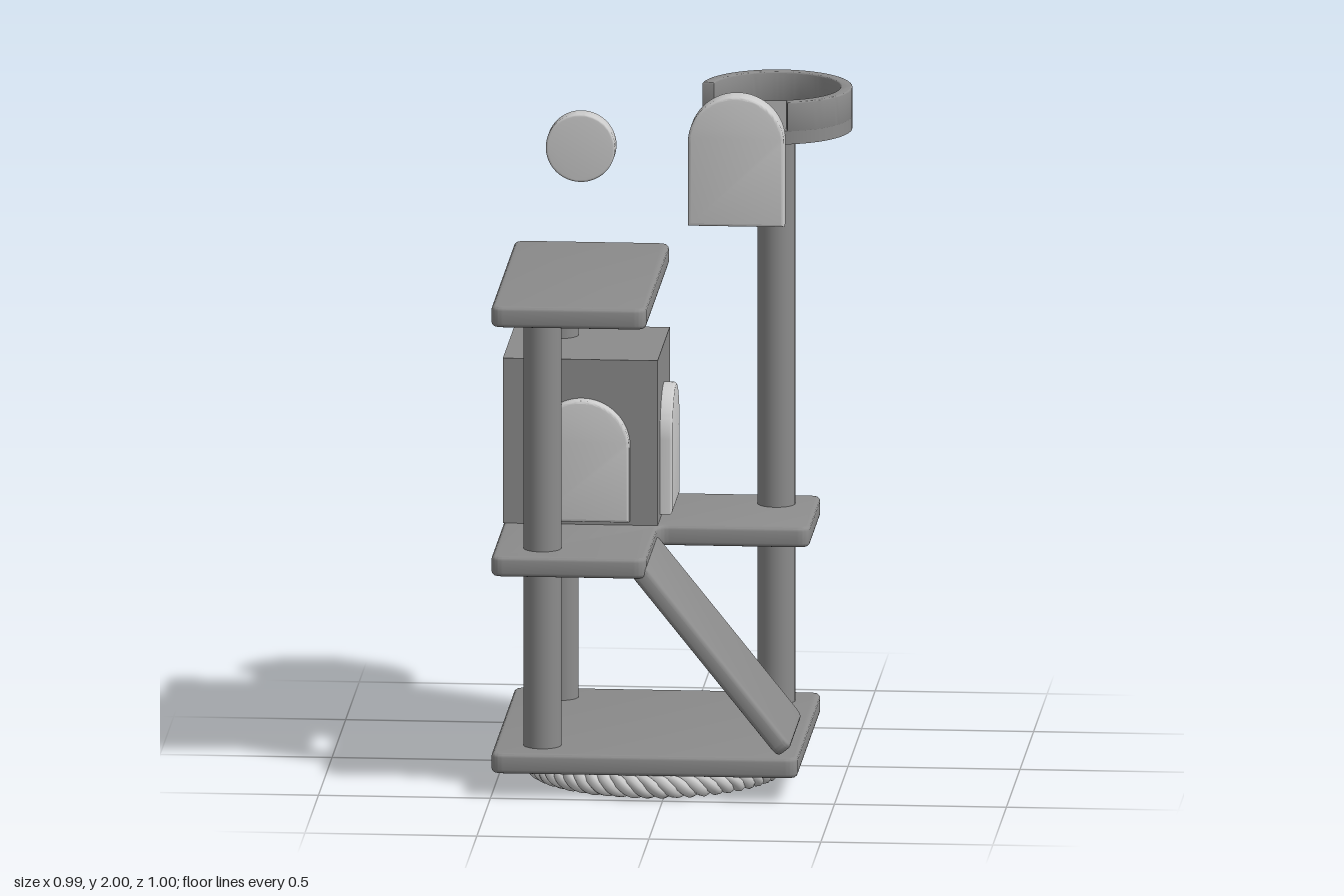
import * as THREE from 'three';
import { toCreasedNormals } from 'three/addons/utils/BufferGeometryUtils.js';

const dark = new THREE.MeshStandardMaterial({ color: 0x8c8c8c });
const light = new THREE.MeshStandardMaterial({ color: 0xcccccc });

// Polygon outline with rounded corners
function roundedOutline(points, radius) {
  const shape = new THREE.Shape();
  const pts = points.map(([x, y]) => new THREE.Vector2(x, y));
  pts.forEach((p, i) => {
    const prev = pts[(i + pts.length - 1) % pts.length];
    const next = pts[(i + 1) % pts.length];
    const a = p.clone().add(prev.clone().sub(p).setLength(radius));
    const b = p.clone().add(next.clone().sub(p).setLength(radius));
    if (i === 0) shape.moveTo(a.x, a.y);
    else shape.lineTo(a.x, a.y);
    shape.quadraticCurveTo(p.x, p.y, b.x, b.y);
  });
  shape.closePath();
  return shape;
}

const rect = (x0, z0, x1, z1) => [[x0, z0], [x1, z0], [x1, z1], [x0, z1]];

// Extrusion centred on its thickness, with softened edges inside the outline
function extrude(shape, thickness, bevel, curveSegments = 10) {
  const geometry = new THREE.ExtrudeGeometry(shape, {
    depth: thickness - 2 * bevel,
    bevelEnabled: bevel > 0,
    bevelThickness: bevel,
    bevelSize: bevel,
    bevelOffset: -bevel,
    bevelSegments: 3,
    curveSegments,
  });
  geometry.translate(0, 0, bevel - thickness / 2);
  return toCreasedNormals(geometry, 0.6);
}

// Doorway panel: straight sides and a semicircular top, standing on y = 0
function archGeometry(width, height, thickness) {
  const r = width / 2;
  const shape = new THREE.Shape();
  shape.moveTo(-r, 0);
  shape.lineTo(r, 0);
  shape.lineTo(r, height - r);
  shape.absarc(0, height - r, r, 0, Math.PI, false);
  shape.closePath();
  return extrude(shape, thickness, 0.008, 24);
}

// One strand of a rope twisted around a ring
class RopeStrand extends THREE.Curve {
  constructor(radius, offset, turns, phase) {
    super();
    Object.assign(this, { radius, offset, turns, phase });
  }
  getPoint(t, target = new THREE.Vector3()) {
    const a = t * Math.PI * 2;
    const twist = this.turns * a + this.phase;
    const r = this.radius + this.offset * Math.cos(twist);
    return target.set(r * Math.cos(a), this.offset * Math.sin(twist), r * Math.sin(a));
  }
}

export function createModel() {
  const group = new THREE.Group();

  function add(name, geometry, material, x = 0, y = 0, z = 0) {
    const mesh = new THREE.Mesh(geometry, material);
    mesh.name = name;
    mesh.position.set(x, y, z);
    group.add(mesh);
    return mesh;
  }

  // Horizontal boards, outlined in x and z
  function board(name, points, y0, y1) {
    const geometry = extrude(roundedOutline(points, 0.035), y1 - y0, 0.012);
    geometry.rotateX(Math.PI / 2);
    return add(name, geometry, dark, 0, (y0 + y1) / 2, 0);
  }
  board('base', rect(-0.5, -0.4, 0.39, 0.49), 0.07, 0.13);
  board('middlePlatform', [
    [-0.5, -0.4], [0.39, -0.4], [0.39, 0.04], [-0.05, 0.04], [-0.05, 0.49], [-0.5, 0.49],
  ], 0.655, 0.715);
  board('topShelf', rect(-0.5, -0.4, -0.05, 0.49), 1.395, 1.457);

  // Posts
  function post(name, x, z, y0, y1) {
    add(name, new THREE.CylinderGeometry(0.055, 0.055, y1 - y0, 32), dark, x, (y0 + y1) / 2, z);
  }
  post('frontPost', -0.36, 0.36, 0.12, 1.4);
  post('tallPost', 0.27, -0.28, 0.12, 1.84);
  post('backLowerPost', -0.36, -0.28, 0.12, 0.66);
  post('backUpperPost', -0.36, -0.28, 1.2, 1.4);

  // House with two arched doors
  add('house', new THREE.BoxGeometry(0.45, 0.49, 0.445), dark, -0.275, 0.96, -0.18);
  add('houseFrontDoor', archGeometry(0.28, 0.36, 0.075), light, -0.27, 0.73, 0.045);
  add('houseSideDoor', archGeometry(0.28, 0.36, 0.075), light, -0.052, 0.73, -0.18)
    .rotation.y = Math.PI / 2;

  // Separate arch and disc hanging above
  add('upperArch', archGeometry(0.28, 0.385, 0.075), light, 0.18, 1.615, 0.043);
  const disc = new THREE.Shape().absarc(0, 0, 0.101, 0, Math.PI * 2, false);
  add('upperDisc', extrude(disc, 0.06, 0.006, 32), light, -0.272, 1.84, 0.048);

  // Ramp from the middle platform to the base
  const rampGeometry = extrude(roundedOutline(rect(-0.345, -0.2175, 0.345, 0.2175), 0.035), 0.05, 0.012);
  rampGeometry.rotateX(Math.PI / 2);
  add('ramp', rampGeometry, dark, 0.137, 0.413, 0.258).rotation.z = -Math.atan2(0.53, 0.425);

  // Round perch: floor plus a rim left open at the front right
  const perch = new THREE.Group();
  perch.name = 'perch';
  perch.position.set(0.27, 1.83, -0.28);
  group.add(perch);
  const floor = new THREE.Mesh(new THREE.CylinderGeometry(0.22, 0.22, 0.04, 64), dark);
  floor.name = 'perchFloor';
  floor.position.y = 0.02;
  const start = THREE.MathUtils.degToRad(189);
  const end = THREE.MathUtils.degToRad(437);
  const rimShape = new THREE.Shape();
  rimShape.absarc(0, 0, 0.22, start, end, false);
  rimShape.absarc(0, 0, 0.186, end, start, true);
  rimShape.closePath();
  const rim = new THREE.Mesh(extrude(rimShape, 0.09, 0.004, 48).rotateX(Math.PI / 2), dark);
  rim.name = 'perchRim';
  rim.position.y = 0.08;
  perch.add(floor, rim);

  // Twisted rope ring under the base
  const rope = new THREE.Group();
  rope.name = 'ropeRing';
  rope.position.set(-0.05, 0.036, 0.115);
  group.add(rope);
  for (let i = 0; i < 3; i++) {
    const strand = new RopeStrand(0.349, 0.017, 18, (i * Math.PI * 2) / 3);
    const mesh = new THREE.Mesh(new THREE.TubeGeometry(strand, 432, 0.019, 8, true), light);
    mesh.name = 'ropeStrand';
    rope.add(mesh);
  }

  return group;
}
